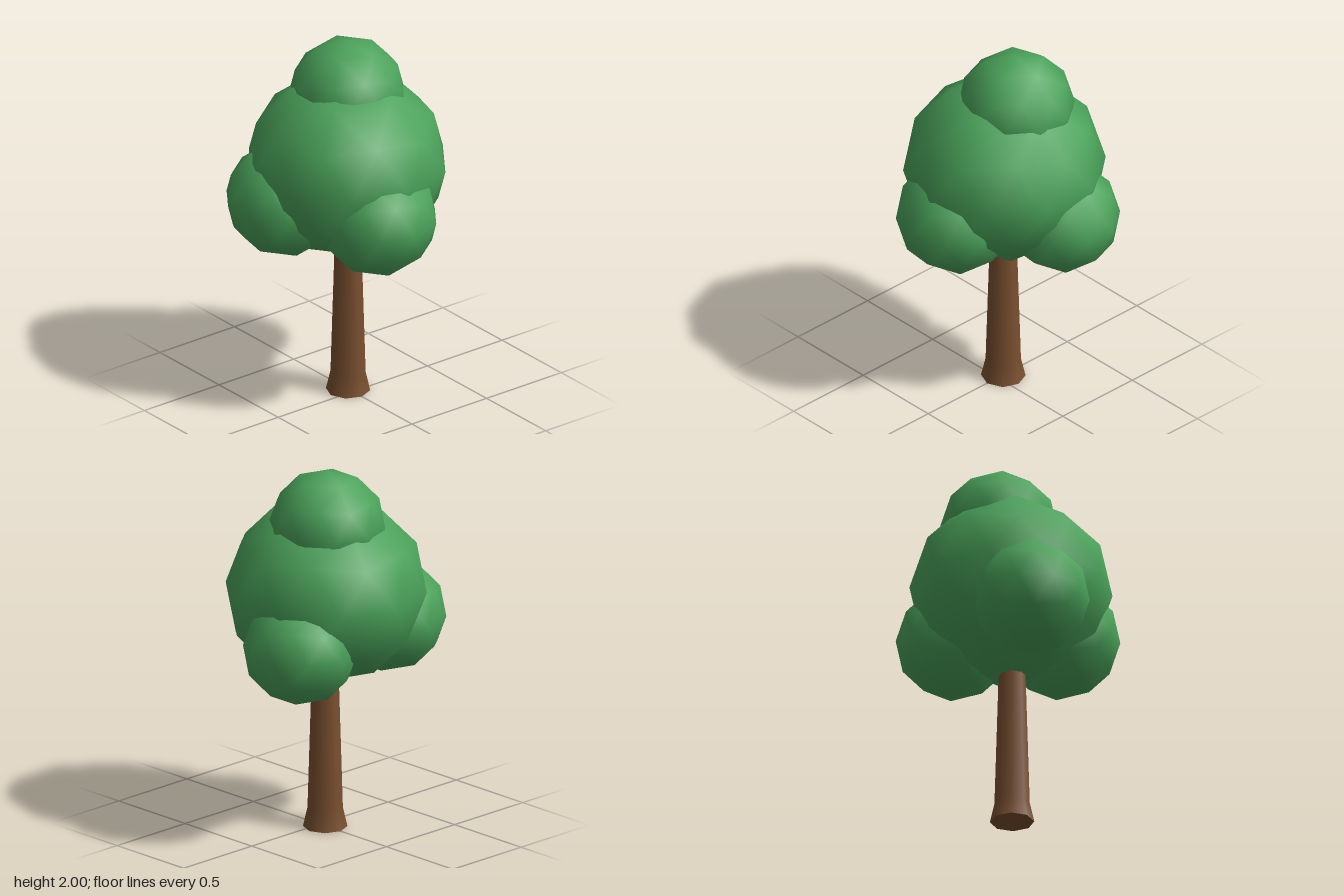
import * as THREE from 'three';

const leafGreen = new THREE.MeshStandardMaterial({ color: 0x4aa25a });
leafGreen.name = 'leaf green';
const barkBrown = new THREE.MeshStandardMaterial({ color: 0x7a5030 });
barkBrown.name = 'bark brown';

// Smooth icosphere clump with one vertex at the top pole
function addClump(group, name, [x, y, z], radius, halfHeight) {
  const geometry = new THREE.IcosahedronGeometry(1, 1);
  geometry.rotateZ(-Math.atan(2 / (1 + Math.sqrt(5))));
  geometry.scale(radius, halfHeight, radius);
  const clump = new THREE.Mesh(geometry, leafGreen);
  clump.name = name;
  clump.position.set(x, y, z);
  group.add(clump);
}

export function createModel() {
  const tree = new THREE.Group();
  tree.name = 'tree';

  // Eight-sided trunk, flared at the foot
  const trunk = new THREE.Group();
  trunk.name = 'trunk';
  trunk.position.z = -0.04;
  const profile = [[0.117, 0], [0.093, 0.105], [0.068, 0.95]];
  const bark = new THREE.Mesh(
    new THREE.LatheGeometry(profile.map(([r, y]) => new THREE.Vector2(r, y)), 8), barkBrown);
  bark.name = 'bark';
  const base = new THREE.Mesh(new THREE.CircleGeometry(0.117, 8).rotateX(Math.PI / 2), barkBrown);
  base.name = 'trunkBase';
  trunk.add(bark, base);
  tree.add(trunk);

  // Foliage: large centre, crown and three lower lobes
  addClump(tree, 'mainFoliage', [0, 1.33, -0.048], 0.536, 0.505);
  addClump(tree, 'crownFoliage', [0.04, 1.7, -0.095], 0.31, 0.3);
  addClump(tree, 'frontFoliage', [-0.04, 1.13, 0.26], 0.32, 0.315);
  addClump(tree, 'leftFoliage', [0.31, 1.098, -0.173], 0.307, 0.303);
  addClump(tree, 'rightFoliage', [-0.302, 1.15, -0.19], 0.32, 0.31);

  return tree;
}
